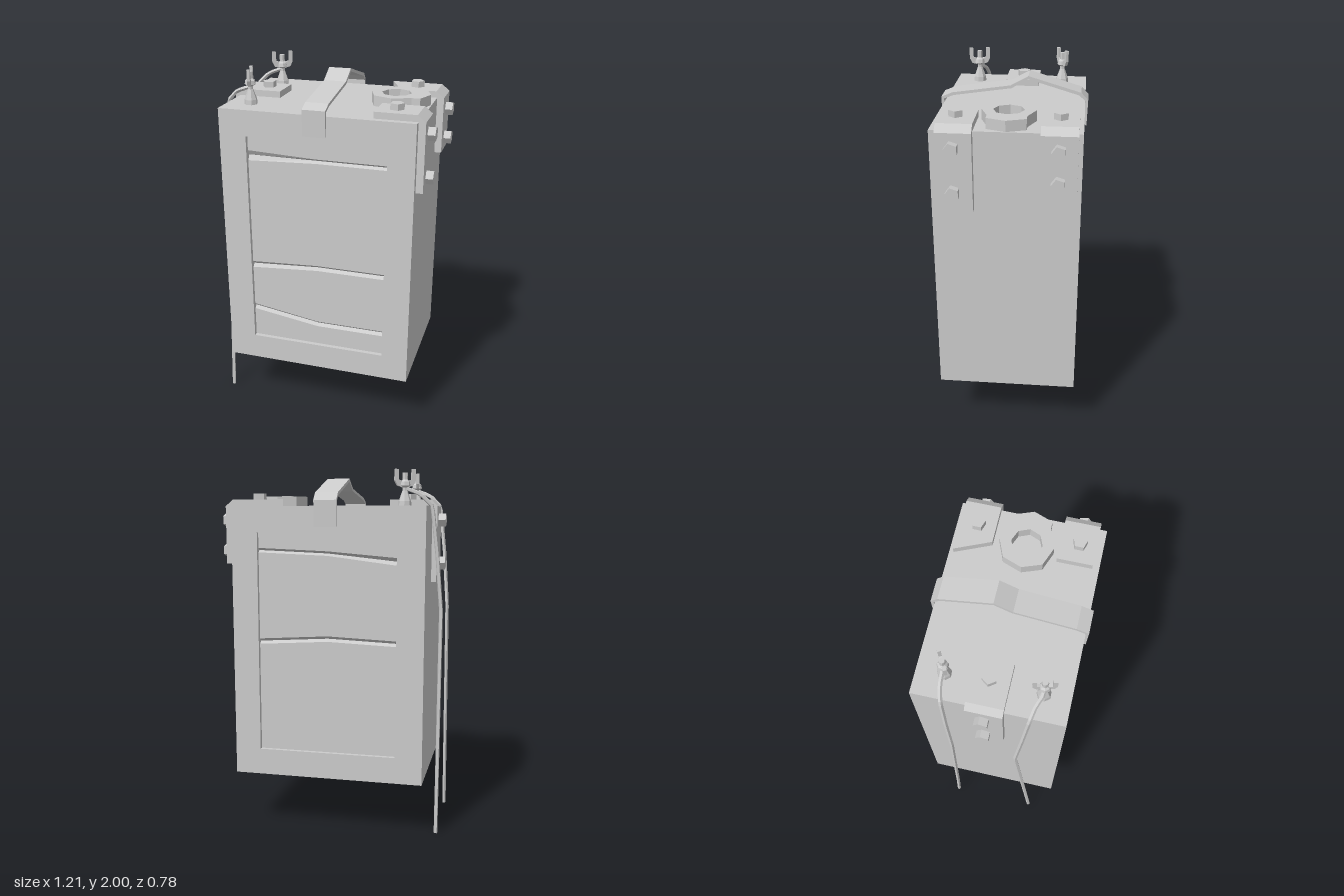
import * as THREE from 'three';

const material = new THREE.MeshStandardMaterial({ color: 0xcccccc, flatShading: true });
const thin = new THREE.MeshStandardMaterial({ color: 0xcccccc, flatShading: true, side: THREE.DoubleSide });
const TOP = 1.81, BOTTOM = 0.32, HALF_Z = 0.377, SIDE = 0.527;

function add(parent, name, geometry, x = 0, y = 0, z = 0, mat = material) {
  const mesh = new THREE.Mesh(geometry, mat);
  mesh.name = name;
  mesh.position.set(x, y, z);
  parent.add(mesh);
  return mesh;
}

const polygon = (points) => new THREE.Shape(points.map(([x, y]) => new THREE.Vector2(x, y)));
const extrude = (shape, depth) => new THREE.ExtrudeGeometry(shape, { depth, bevelEnabled: false });

// Sunken panel with bent V grooves; each groove lists [height, half width] at left, middle, right
function groovedPanel(xs, grooves) {
  const rows = 2 + grooves.length * 3;
  const geometry = new THREE.PlaneGeometry(1, 1, 2, rows - 1);
  const p = geometry.attributes.position;
  for (let row = 0; row < rows; row++) {
    for (let col = 0; col < 3; col++) {
      let y = row === 0 ? 1.68 : 0.455, z = 0.354;
      if (row > 0 && row < rows - 1) {
        const [mid, half] = grooves[Math.floor((row - 1) / 3)][col];
        const step = (row - 1) % 3;
        y = mid + (1 - step) * half;
        if (step === 1) z = 0.337;
      }
      p.setXYZ(row * 3 + col, xs[col], y, z);
    }
  }
  geometry.computeVertexNormals();
  return geometry;
}

// Case: core block, framed and grooved panels front and back
function buildCase(group) {
  add(group, 'caseCore', new THREE.BoxGeometry(SIDE * 2, TOP - BOTTOM, 0.66), 0, (TOP + BOTTOM) / 2, 0);
  const faces = [
    ['front', [-0.385, 0, 0.39], [
      [[1.56, 0.028], [1.56, 0.012], [1.56, 0.012]],
      [[0.917, 0.018], [0.943, 0.015], [0.943, 0.015]],
      [[0.65, 0.016], [0.592, 0.015], [0.592, 0.015]]]],
    ['back', [-0.39, 0, 0.385], [
      [[1.575, 0.012], [1.56, 0.012], [1.52, 0.02]],
      [[1.075, 0.015], [1.1, 0.015], [1.085, 0.015]]]],
  ];
  faces.forEach(([name, xs, grooves], i) => {
    const side = new THREE.Group();
    side.name = name + 'Face';
    side.rotation.y = i * Math.PI;
    const frame = polygon([[-SIDE, BOTTOM], [SIDE, BOTTOM], [SIDE, TOP], [-SIDE, TOP]]);
    const l = xs[0] + 0.007, r = xs[2] - 0.007;
    frame.holes.push(polygon([[l, 0.465], [l, 1.67], [r, 1.67], [r, 0.465]]));
    add(side, name + 'Frame', extrude(frame, HALF_Z - 0.33), 0, 0, 0.33);
    add(side, name + 'Panel', groovedPanel(xs, grooves));
    group.add(side);
  });
}

// Carrying strap bent over the lid
function buildStrap(group) {
  const outer = [[-0.388, 1.70], [-0.392, 1.84], [-0.33, 1.865], [-0.02, 1.91], [0.075, 1.962],
    [0.355, 1.88], [0.392, 1.84], [0.388, 1.70]];
  const inner = [[0.374, 1.71], [0.377, 1.835], [0.345, 1.865], [0.075, 1.945], [-0.015, 1.895],
    [-0.325, 1.85], [-0.377, 1.83], [-0.374, 1.71]];
  const geometry = extrude(polygon([...outer, ...inner].reverse()), 0.124);
  const strap = add(group, 'strap', geometry, -0.06, 0, 0);
  strap.rotation.y = Math.PI / 2;
}

// Corner bracket: angle profile extruded along z, then its free edges are skewed
function buildBracket(group, { name, zMin, zMax, inner, drop, bolts, boltZ, boltX, flip }) {
  const bracket = new THREE.Group();
  bracket.name = name;
  const out = flip ? 0.555 : 0.565, top = 1.845;
  const profile = polygon([[0, TOP], [SIDE - 0.005, TOP], [SIDE - 0.005, 0], [out, 0],
    [out, 1.81], [SIDE - 0.005, top], [0, top]]);
  const geometry = extrude(profile, zMax - zMin);
  const p = geometry.attributes.position;
  for (let i = 0; i < p.count; i++) {
    const end = p.getZ(i) > 0.01 ? 1 : 0;
    if (p.getX(i) < 0.01) p.setX(i, inner[end]);
    if (p.getY(i) < 0.01) p.setY(i, drop[end]);
  }
  geometry.computeVertexNormals();
  add(bracket, 'bracketPlate', geometry, 0, 0, zMin);
  const bolt = new THREE.CylinderGeometry(0.038, 0.038, 0.045, 5);
  add(bracket, 'topBolt', bolt, boltX, 1.855, boltZ).rotation.y = 0.3;
  for (const y of bolts) {
    add(bracket, 'sideBolt', bolt, out + 0.0175, y, boltZ).rotation.set(0, 0, -Math.PI / 2);
  }
  if (flip) bracket.rotation.y = Math.PI;
  group.add(bracket);
}

// Open filler ring on the lid
function buildCap(group) {
  const ring = polygon([[-0.137, 0], [-0.1, -0.1], [0, -0.138], [0.1, -0.1], [0.145, -0.1],
    [0.183, 0], [0.145, 0.1], [0.1, 0.1], [0, 0.14], [-0.1, 0.1]]);
  const hole = [];
  for (let i = 0; i < 8; i++) {
    const a = -i * Math.PI / 4;
    hole.push([0.08 * Math.cos(a), 0.08 * Math.sin(a)]);
  }
  ring.holes.push(polygon(hole));
  const cap = add(group, 'fillerRing', extrude(ring, 0.056), 0.34, TOP, 0);
  cap.rotation.x = -Math.PI / 2;
}

// Terminal post with a wing nut
function buildTerminal(group, name, z, turn) {
  const terminal = new THREE.Group();
  terminal.name = name;
  terminal.position.set(-0.395, TOP, z);
  terminal.rotation.y = turn;
  const profile = [[0, 0], [0.036, 0], [0.034, 0.025], [0.014, 0.08], [0.014, 0.095],
    [0.03, 0.105], [0.026, 0.125], [0.015, 0.135], [0.015, 0.172], [0, 0.172]];
  add(terminal, 'terminalPost', new THREE.LatheGeometry(profile.map(([x, y]) => new THREE.Vector2(x, y)), 7));
  const wing = polygon([[0.015, 0.095], [0.045, 0.105], [0.058, 0.13], [0.058, 0.19],
    [0.038, 0.19], [0.036, 0.135], [0.015, 0.13]]);
  for (const s of [0, 1]) {
    const half = new THREE.Group();
    half.name = 'wing';
    half.rotation.y = s * Math.PI;
    add(half, 'wingBlade', extrude(wing, 0.016), 0, 0, -0.008);
    terminal.add(half);
  }
  group.add(terminal);
}

// Bent wire hanging down the side
function buildWire(group, name, points) {
  const path = new THREE.CatmullRomCurve3(points.map((p) => new THREE.Vector3(...p)), false, 'catmullrom', 0);
  add(group, name, new THREE.TubeGeometry(path, 60, 0.011, 5), 0, 0, 0, thin);
}

export function createModel() {
  const group = new THREE.Group();
  group.name = 'batteryBox';
  buildCase(group);
  buildStrap(group);
  buildCap(group);

  // Brackets: pairs give values at the low-z and high-z ends
  buildBracket(group, { name: 'frontLeftBracket', zMin: 0.16, zMax: 0.342, inner: [0.3, 0.3],
    drop: [1.4, 1.44], bolts: [1.735, 1.505], boltZ: 0.258, boltX: 0.4 });
  buildBracket(group, { name: 'backLeftBracket', zMin: -0.355, zMax: -0.172, inner: [0.24, 0.32],
    drop: [1.5, 1.5], bolts: [1.735, 1.57], boltZ: -0.263, boltX: 0.4 });
  buildBracket(group, { name: 'rightBracket', zMin: -0.08, zMax: 0.105, inner: [0.293, 0.293],
    drop: [1.4, 1.4], bolts: [1.735, 1.5], boltZ: 0.018, boltX: 0.39, flip: true });

  buildTerminal(group, 'frontTerminal', 0.243, -1.33);
  buildTerminal(group, 'backTerminal', -0.237, 0.52);
  buildWire(group, 'frontWire', [[-0.4, 1.9, 0.243], [-0.43, 1.89, 0.243], [-0.48, 1.87, 0.22],
    [-0.54, 1.81, 0.205], [-0.57, 1.55, 0.18], [-0.594, 1.25, 0.15], [-0.594, 0.3, 0.225], [-0.594, 0, 0.248]]);
  buildWire(group, 'backWire', [[-0.4, 1.9, -0.237], [-0.43, 1.89, -0.235], [-0.48, 1.87, -0.235],
    [-0.54, 1.81, -0.222], [-0.57, 1.55, -0.21], [-0.594, 1.25, -0.195], [-0.594, 0.3, -0.224], [-0.594, 0, -0.236]]);
  return group;
}
